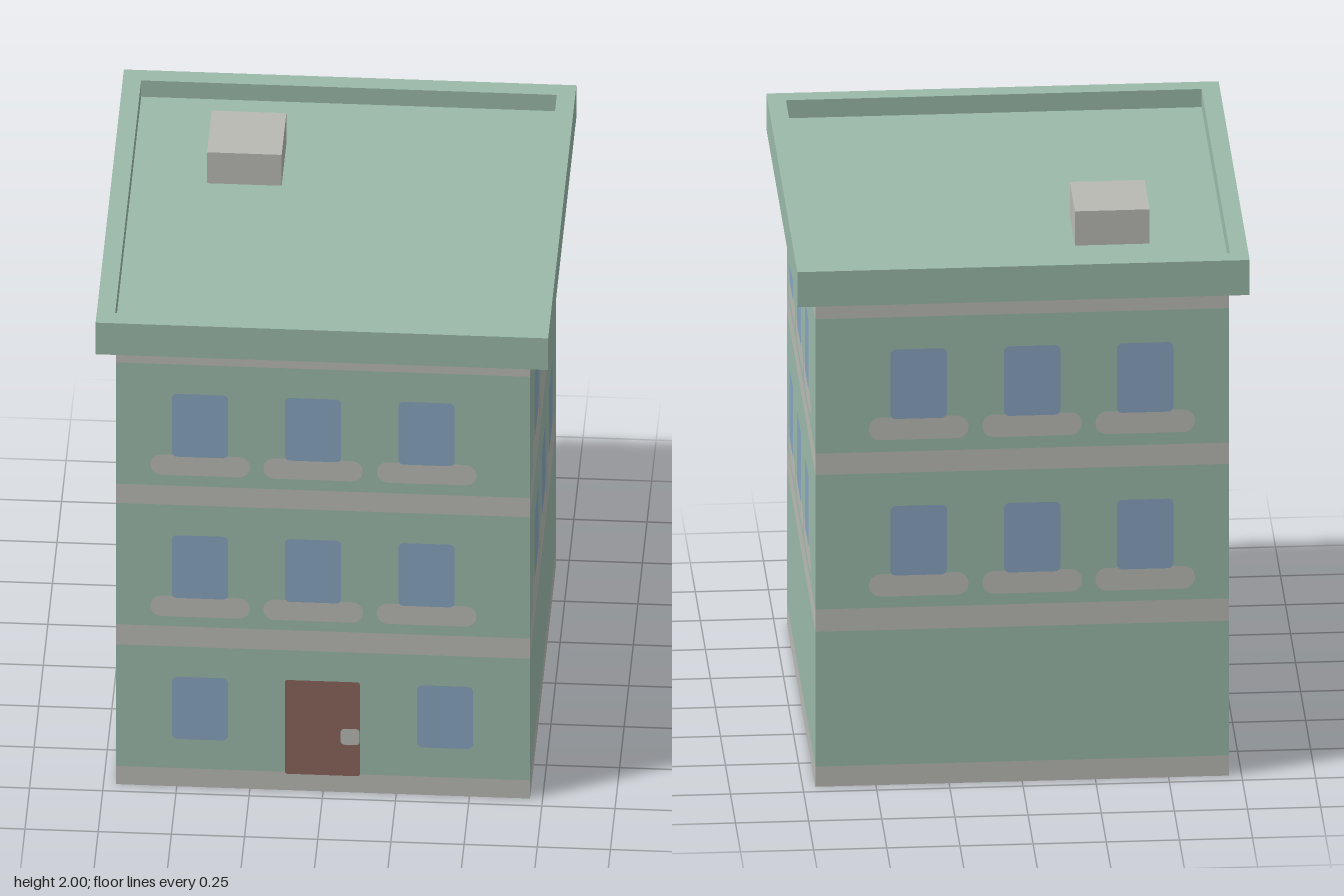
import * as THREE from 'three';

const mat = (name, color) => {
  const m = new THREE.MeshStandardMaterial({ color });
  m.name = name;
  return m;
};

export function createModel() {
  const green = mat('green plaster', 0x9ab9a9);
  const stone = mat('pale stone', 0xb9b9b4);
  const glass = mat('blue glass', 0x88a4c0);
  const wood = mat('red brown door', 0x8a655c);
  const model = new THREE.Group();
  model.name = 'townHouse';
  const HALF = 0.707;

  function box(name, material, [x0, x1], [y0, y1], [z0, z1]) {
    const mesh = new THREE.Mesh(new THREE.BoxGeometry(x1 - x0, y1 - y0, z1 - z0), material);
    mesh.position.set((x0 + x1) / 2, (y0 + y1) / 2, (z0 + z1) / 2);
    mesh.name = name;
    model.add(mesh);
  }

  // Flat plate with rounded corners, just proud of a wall
  function plate(parent, name, material, cx, cy, w, h, r, lift) {
    const s = new THREE.Shape(), a = w / 2, b = h / 2;
    s.moveTo(-a + r, -b);
    s.lineTo(a - r, -b);
    s.absarc(a - r, -b + r, r, -Math.PI / 2, 0);
    s.lineTo(a, b - r);
    s.absarc(a - r, b - r, r, 0, Math.PI / 2);
    s.lineTo(-a + r, b);
    s.absarc(-a + r, b - r, r, Math.PI / 2, Math.PI);
    s.lineTo(-a, -b + r);
    s.absarc(-a + r, -b + r, r, Math.PI, Math.PI * 1.5);
    const mesh = new THREE.Mesh(new THREE.ShapeGeometry(s, 5), material);
    mesh.position.set(cx, cy, HALF + lift);
    mesh.name = name;
    parent.add(mesh);
  }

  // Walls: alternating stone bands and plaster storeys, all flush
  const levels = [0, 0.075, 0.575, 0.658, 1.157, 1.236, 1.735, 1.81];
  const side = [-HALF, HALF];
  for (let i = 0; i < levels.length - 1; i++) {
    const band = i % 2 === 0;
    box(band ? 'stoneBand' : 'storeyWall', band ? stone : green, side, [levels[i], levels[i + 1]], side);
  }

  // Upper windows and sills; back and left walls mirror those opposite
  const faces = [['front', 0, 1], ['right', Math.PI / 2, 1], ['back', Math.PI, -1], ['left', -Math.PI / 2, -1]];
  for (const [name, turn, flip] of faces) {
    const wall = new THREE.Group();
    wall.name = name + 'WallDetails';
    wall.rotation.y = turn;
    for (const y of [0.742, 1.323]) {
      for (const x of [-0.42, -0.034, 0.354]) {
        plate(wall, 'sill', stone, x * flip, y, 0.34, 0.084, 0.04, 0.003);
        plate(wall, 'window', glass, x * flip, y + 0.165, 0.192, 0.258, 0.018, 0.005);
      }
    }
    // Ground floor entrance
    if (name === 'front') {
      plate(wall, 'groundWindow', glass, -0.42, 0.326, 0.192, 0.256, 0.022, 0.005);
      plate(wall, 'groundWindow', glass, 0.417, 0.326, 0.192, 0.256, 0.022, 0.005);
      plate(wall, 'door', wood, -0.002, 0.262, 0.255, 0.386, 0.008, 0.003);
      plate(wall, 'doorHandle', stone, 0.093, 0.231, 0.065, 0.066, 0.015, 0.005);
    }
    model.add(wall);
  }

  // Roof: overhanging parapet frame around a sunken deck
  const R = 0.773, IN = 0.71;
  const square = (Type, r) => new Type([[-r, -r], [r, -r], [r, r], [-r, r]].map(p => new THREE.Vector2(...p)));
  const frame = square(THREE.Shape, R);
  frame.holes.push(square(THREE.Path, IN));
  const parapet = new THREE.Mesh(new THREE.ExtrudeGeometry(frame, { depth: 0.13, bevelEnabled: false }), green);
  parapet.rotation.x = -Math.PI / 2;
  parapet.position.y = 1.81;
  parapet.name = 'parapet';
  model.add(parapet);
  box('roofDeck', green, [-IN, IN], [1.81, 1.873], [-IN, IN]);

  // Chimney block
  box('chimney', stone, [-0.453, -0.198], [1.873, 2], [-0.453, -0.198]);

  return model;
}
